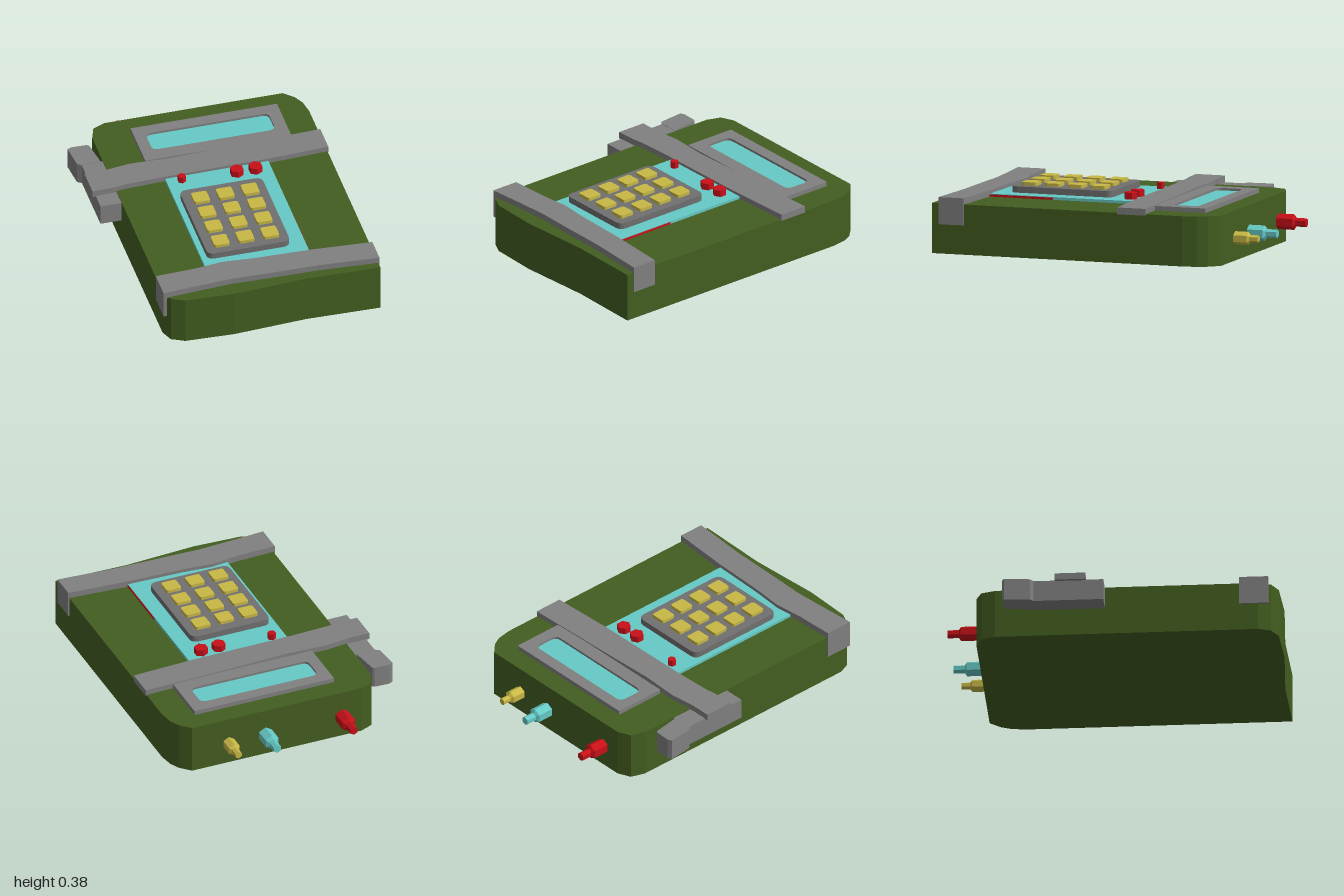
import * as THREE from 'three';

const mat = (color) => new THREE.MeshStandardMaterial({ color, flatShading: true });
const outline = (pts) => new THREE.Shape(pts.map(([x, z]) => new THREE.Vector2(x, -z)));

// Rounded rectangle in plan, given by its x and z ranges
function roundRect(x0, x1, z0, z1, r, Type = THREE.Shape) {
  const s = new Type();
  const [b, t] = [-z1, -z0];
  s.moveTo(x0 + r, b);
  s.lineTo(x1 - r, b);
  s.quadraticCurveTo(x1, b, x1, b + r);
  s.lineTo(x1, t - r);
  s.quadraticCurveTo(x1, t, x1 - r, t);
  s.lineTo(x0 + r, t);
  s.quadraticCurveTo(x0, t, x0, t - r);
  s.lineTo(x0, b + r);
  s.quadraticCurveTo(x0, b, x0 + r, b);
  return s;
}

export function createModel() {
  const model = new THREE.Group();
  model.name = 'keypadDevice';
  const green = mat(0x435e20), grey = mat(0x808080), dark = mat(0x707070);
  const cyan = mat(0x66c9c5), yellow = mat(0xc8b846), red = mat(0xc81018);

  const add = (name, geometry, material, parent = model) => {
    const mesh = new THREE.Mesh(geometry, material);
    mesh.name = name;
    parent.add(mesh);
    return mesh;
  };
  // Plan shape raised from y0 to y1
  const slab = (name, shape, y0, y1, material, parent) => {
    const g = new THREE.ExtrudeGeometry(shape, { depth: y1 - y0, bevelEnabled: false, curveSegments: 4 });
    g.rotateX(-Math.PI / 2).translate(0, y0, 0);
    return add(name, g, material, parent);
  };
  const box = (name, x0, x1, y0, y1, z0, z1, material) =>
    add(name, new THREE.BoxGeometry(x1 - x0, y1 - y0, z1 - z0), material)
      .position.set((x0 + x1) / 2, (y0 + y1) / 2, (z0 + z1) / 2);

  // Case
  slab('body', outline([
    [-0.58, -0.7], [-0.55, -0.785], [-0.47, -0.82], [0.63, -0.82], [0.69, -0.76], [0.72, -0.7], [0.735, -0.61],
    [0.735, 0.98], [0.28, 0.97], [-0.17, 0.998], [-0.47, 0.985], [-0.55, 0.945], [-0.58, 0.87],
  ]), 0.003, 0.305, green);

  // Display
  const frame = roundRect(-0.345, 0.56, -0.695, -0.365, 0.004);
  frame.holes.push(roundRect(-0.275, 0.485, -0.62, -0.455, 0.04, THREE.Path));
  slab('displayFrame', frame, 0.3, 0.332, grey);
  slab('displayScreen', roundRect(-0.28, 0.49, -0.625, -0.45, 0.04), 0.3, 0.318, cyan);

  // Front panel with its red side trim
  box('panel', -0.275, 0.365, 0.3, 0.322, -0.22, 0.78, cyan);
  box('panelTrim', 0.3, 0.368, 0.3, 0.318, 0.35, 0.77, red);

  // Keypad
  const keypad = new THREE.Group();
  keypad.name = 'keypad';
  model.add(keypad);
  slab('keypadBase', roundRect(-0.24, 0.27, 0.01, 0.655, 0.045), 0.315, 0.36, dark, keypad);
  for (const z of [0.12, 0.265, 0.41, 0.557])
    for (const x of [-0.138, 0.015, 0.168])
      slab('key', roundRect(x - 0.048, x + 0.048, z - 0.048, z + 0.048, 0.015), 0.355, 0.38, yellow, keypad);

  // Hexagonal knobs and the small lamp
  for (const [name, x, z, r] of [['knob', 0.15, -0.11, 0.042], ['knob', 0.265, -0.11, 0.042], ['lamp', -0.185, -0.13, 0.025]])
    add(name, new THREE.CylinderGeometry(r, r, 0.05, 6), red).position.set(x, 0.337, z);

  // Straps, slightly wavy along their edges
  slab('rearStrap', outline([
    [-0.73, -0.335], [-0.6, -0.335], [-0.44, -0.355], [-0.2, -0.345], [0.1, -0.358], [0.74, -0.38],
    [0.74, -0.2], [0.35, -0.182], [-0.3, -0.175], [-0.53, -0.165], [-0.6, -0.155], [-0.73, -0.15],
  ]), 0.297, 0.338, grey);
  slab('frontStrap', outline([
    [-0.59, 0.755], [-0.34, 0.745], [-0.17, 0.725], [0.02, 0.74], [0.37, 0.75], [0.742, 0.775],
    [0.742, 0.935], [0.37, 0.91], [0.02, 0.905], [-0.16, 0.9], [-0.4, 0.915], [-0.59, 0.93],
  ]), 0.3, 0.343, grey);
  box('strapEndLeft', 0.725, 0.742, 0.18, 0.34, 0.775, 0.935, grey);
  box('strapEndRight', -0.59, -0.57, 0.17, 0.34, 0.755, 0.93, grey);

  // Side arm with its angled tip
  box('sideArm', -0.71, -0.575, 0.17, 0.3, -0.47, -0.045, grey);
  slab('sideArmTip', outline([
    [-0.75, -0.635], [-0.725, -0.648], [-0.63, -0.645], [-0.617, -0.635], [-0.593, -0.47], [-0.71, -0.462], [-0.735, -0.48],
  ]), 0.168, 0.302, grey);

  // Rear connectors: hexagonal body, tapered collar and thin tip
  const connector = (x, r, bodyEnd, tipEnd, material) => {
    const group = new THREE.Group();
    group.name = 'connector';
    group.position.set(x, 0.14, 0);
    model.add(group);
    const part = (name, rBase, rEnd, zBase, zEnd) => {
      const g = new THREE.CylinderGeometry(rEnd, rBase, zBase - zEnd, 6);
      g.rotateX(-Math.PI / 2).translate(0, 0, (zBase + zEnd) / 2);
      add(name, g, material, group);
    };
    part('connectorBody', r, r, -0.8, bodyEnd);
    part('connectorCollar', r, r * 0.6, bodyEnd, bodyEnd - 0.012);
    part('connectorTip', r * 0.56, r * 0.56, bodyEnd, tipEnd);
  };
  connector(-0.342, 0.047, -0.92, -1, red);
  connector(0.155, 0.047, -0.92, -1, cyan);
  connector(0.393, 0.04, -0.905, -0.97, yellow);

  return model;
}
